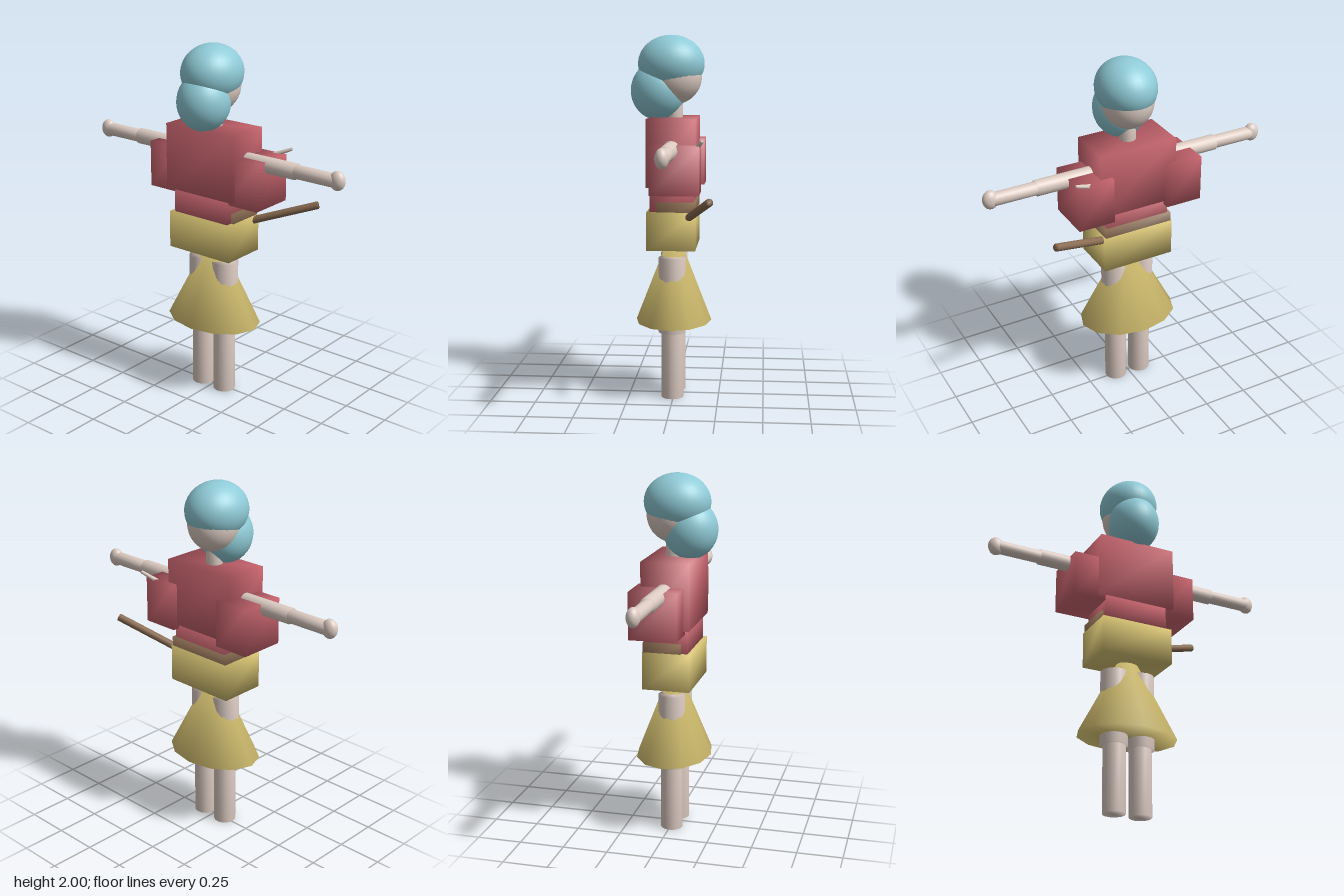
import * as THREE from 'three';
import { mergeVertices } from 'three/addons/utils/BufferGeometryUtils.js';

const mat = (name, color) => Object.assign(new THREE.MeshStandardMaterial({ color }), { name });

// Weld shared corners so shading runs softly over the edges
function soften(geometry) {
  geometry.deleteAttribute('normal');
  geometry.deleteAttribute('uv');
  const welded = mergeVertices(geometry, 1e-4);
  welded.computeVertexNormals();
  return welded;
}

export function createModel() {
  const model = new THREE.Group();
  model.name = 'figure';
  const hair = mat('hair blue', 0x8fcbd7);
  const skin = mat('skin', 0xdccbc2);
  const red = mat('jacket red', 0xc4626c);
  const yellow = mat('skirt yellow', 0xd6c272);
  const brown = mat('leather brown', 0x8a6c52);

  function add(name, geometry, material, x = 0, y = 0, z = 0) {
    const mesh = new THREE.Mesh(geometry, material);
    mesh.name = name;
    mesh.position.set(x, y, z);
    model.add(mesh);
    return mesh;
  }
  // Box given by its low and high corners
  function box(name, material, [x0, y0, z0], [x1, y1, z1]) {
    add(name, soften(new THREE.BoxGeometry(x1 - x0, y1 - y0, z1 - z0)), material,
      (x0 + x1) / 2, (y0 + y1) / 2, (z0 + z1) / 2);
  }
  function ellipsoid(name, material, [x, y, z], [rx, ry, rz]) {
    add(name, new THREE.SphereGeometry(1, 32, 20).scale(rx, ry, rz), material, x, y, z);
  }
  // Round rod between two points
  function rod(name, material, from, to, r0, r1 = r0) {
    const a = new THREE.Vector3(...from), b = new THREE.Vector3(...to);
    const dir = b.clone().sub(a);
    const mesh = add(name, soften(new THREE.CylinderGeometry(r1, r0, dir.length(), 16)), material);
    mesh.position.copy(a).add(b).multiplyScalar(0.5);
    mesh.quaternion.setFromUnitVectors(new THREE.Vector3(0, 1, 0), dir.normalize());
  }

  // Head and hair
  ellipsoid('head', skin, [0, 1.78, 0], [0.14, 0.155, 0.15]);
  ellipsoid('hairCap', hair, [0, 1.845, 0.018], [0.162, 0.155, 0.182]);
  ellipsoid('hairFront', hair, [0, 1.7, 0.09], [0.143, 0.16, 0.15]);
  rod('neck', skin, [0, 1.5, 0], [0, 1.68, 0], 0.045);

  // Torso and hips
  box('chest', red, [-0.225, 1.19, -0.127], [0.225, 1.555, 0.137]);
  box('waist', red, [-0.183, 1.04, -0.115], [0.183, 1.2, 0.12]);
  box('belt', brown, [-0.2, 1.0, -0.126], [0.2, 1.108, 0.085]);
  box('hips', yellow, [-0.208, 0.847, -0.127], [0.208, 1.055, 0.137]);

  // Skirt: oval cone reaching up into the hips
  add('skirt', soften(new THREE.ConeGeometry(1, 0.54, 12).scale(0.286, 1, 0.21)),
    yellow, 0, 0.695, 0.003);

  // Limbs, mirrored
  for (const [side, s] of [['left', 1], ['right', -1]]) {
    box(side + 'Sleeve', red, [s * 0.265 - 0.104, 1.165, -0.155], [s * 0.265 + 0.104, 1.423, 0.107]);
    rod(side + 'UpperArm', skin, [s * 0.2, 1.398, 0], [s * 0.54, 1.398, 0], 0.044);
    rod(side + 'Forearm', skin, [s * 0.52, 1.398, 0], [s * 0.78, 1.398, 0], 0.037);
    ellipsoid(side + 'Hand', skin, [s * 0.792, 1.4, 0], [0.043, 0.052, 0.035]);
    rod(side + 'Thigh', skin, [s * 0.08, 0.37, 0.007], [s * 0.08, 0.79, 0.007], 0.075);
    rod(side + 'Shin', skin, [s * 0.077, 0, 0.006], [s * 0.077, 0.42, 0.006], 0.062);
  }

  // Rod tucked into the belt, and small spike behind the left sleeve
  rod('beltRod', brown, [0.15, 1.012, -0.075], [0.536, 1.156, -0.218], 0.021);
  rod('sleeveSpike', skin, [0.27, 1.4, -0.13], [0.39, 1.452, -0.172], 0.014, 0.009);

  return model;
}
